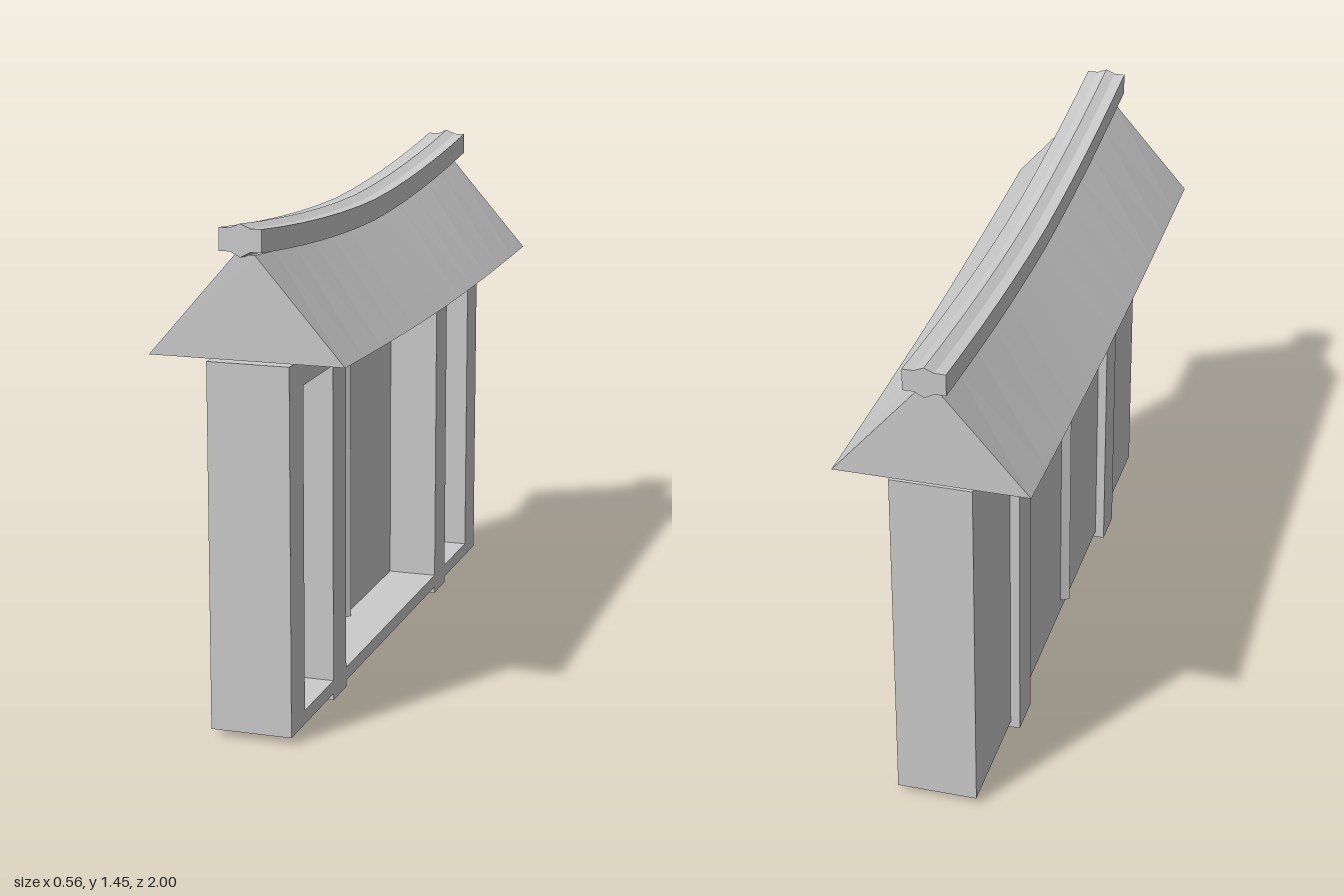
import * as THREE from 'three';

const material = new THREE.MeshStandardMaterial({ color: 0xcccccc, flatShading: true });

function polygon(points) {
  return new THREE.Shape(points.map(([x, y]) => new THREE.Vector2(x, y)));
}

export function createModel() {
  const model = new THREE.Group();

  const add = (name, geometry) => {
    const mesh = new THREE.Mesh(geometry, material);
    mesh.name = name;
    model.add(mesh);
    return mesh;
  };

  // Box given by its extents along each axis
  const box = (name, [x0, x1], [y0, y1], [z0, z1]) =>
    add(name, new THREE.BoxGeometry(x1 - x0, y1 - y0, z1 - z0))
      .position.set((x0 + x1) / 2, (y0 + y1) / 2, (z0 + z1) / 2);

  // Profile swept along z, sagging in the middle: lift(y) is the rise at the ends
  const sagging = (name, points, halfLength, lift) => {
    const geometry = new THREE.ExtrudeGeometry(polygon(points), {
      depth: 2 * halfLength, steps: 12, bevelEnabled: false,
    });
    geometry.translate(0, 0, -halfLength);
    const pos = geometry.attributes.position;
    for (let i = 0; i < pos.count; i++) {
      const y = pos.getY(i);
      pos.setY(i, y + lift(y) * Math.abs(pos.getZ(i)) ** 1.7);
    }
    geometry.computeVertexNormals();
    return add(name, geometry);
  };

  const back = -0.115, front = 0.12, inner = -0.032;
  const bottom = 0.02, top = 1.065, halfWall = 0.96;

  // Solid back of the wall
  box('backWall', [back, inner], [bottom, top], [-halfWall, halfWall]);

  // Frame with one wide and two narrow openings
  const frame = polygon([[-halfWall, bottom], [halfWall, bottom], [halfWall, top], [-halfWall, top]]);
  for (const [a, b] of [[-0.845, -0.59], [-0.47, 0.47], [0.59, 0.845]]) {
    frame.holes.push(polygon([[a, 0.06], [a, 0.99], [b, 0.99], [b, 0.06]]));
  }
  const frameGeometry = new THREE.ExtrudeGeometry(frame, { depth: front - inner, bevelEnabled: false });
  add('wallFrame', frameGeometry.rotateY(Math.PI / 2)).position.x = inner;

  // Shallower side panels, feet and rear pilasters
  for (const side of [-1, 1]) {
    const span = (a, b) => [a * side, b * side].sort((p, q) => p - q);
    box('sidePanel', [inner, 0.01], [0.06, 0.99], span(0.59, 0.845));
    box('foot', [back, front], [0, bottom], span(0.47, 0.59));
    box('rearPilaster', [-0.143, back], [0, top], span(0.47, 0.59));
  }

  // Narrow pointed strip over the seam of the middle panel, on both faces
  const strip = polygon([
    [-0.141, -0.015], [back, -0.03], [inner, -0.03], [-0.012, -0.015], [inner, 0], [back, 0],
  ]);
  const stripGeometry = new THREE.ExtrudeGeometry(strip, { depth: 0.93, bevelEnabled: false });
  add('centreStrip', stripGeometry.rotateX(-Math.PI / 2)).position.y = 0.06;

  // Roof: eaves rise slightly and the crest rises more toward the ends
  sagging('roof', [[-0.278, 1.053], [0.278, 1.053], [0.028, 1.305], [-0.028, 1.305]], 0.965,
    (y) => THREE.MathUtils.mapLinear(y, 1.053, 1.305, 0.023, 0.06));

  // Ridge beam with a raised spine and a keel below
  sagging('ridgeBeam', [
    [-0.06, 1.305], [-0.028, 1.305], [0, 1.29], [0.028, 1.305], [0.06, 1.305],
    [0.06, 1.368], [0.028, 1.368], [0, 1.38], [-0.028, 1.368], [-0.06, 1.368],
  ], 1, () => 0.07);

  return model;
}
